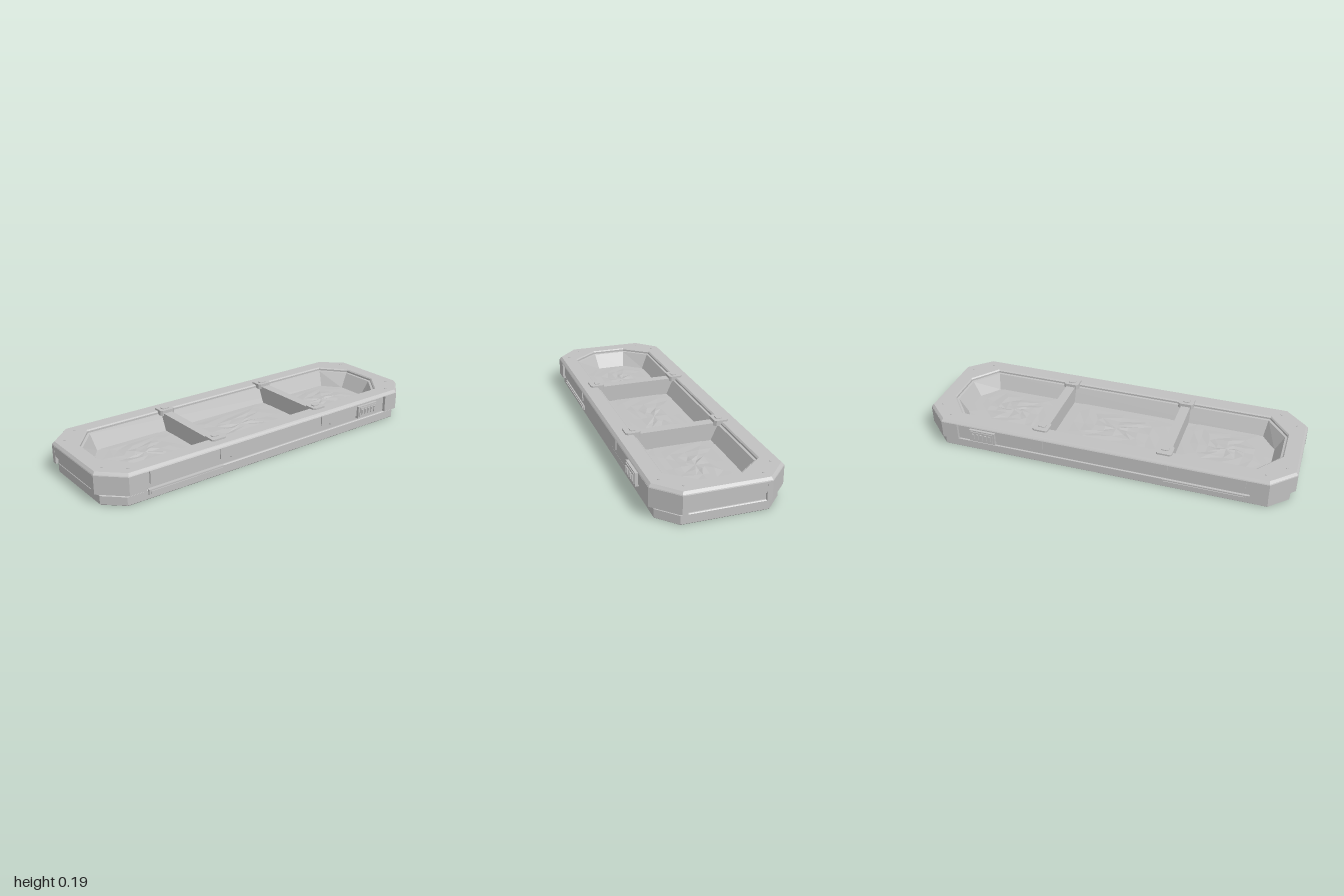
import * as THREE from 'three';

const grey = new THREE.MeshStandardMaterial({ color: 0xc0c0c0, flatShading: true });
grey.name = 'grey';
const SIDES = [-1, 1];

// Eight-sided outline: half sizes x, z and where the cut corners begin
function octagon(x, z, cx, cz) {
  return [[x, -cz], [x, cz], [cx, z], [-cx, z], [-x, cz], [-x, -cz], [-cx, -z], [cx, -z]];
}

// Skin joining octagon rings [x, z, cx, cz, y]
function loft(rings, capBottom = false, capTop = false) {
  const pos = [];
  const pts = rings.map(r => octagon(...r).map(([x, z]) => [x, r[4], z]));
  const tri = (a, b, c) => pos.push(...a, ...b, ...c);
  for (let r = 0; r < pts.length - 1; r++) {
    for (let i = 0; i < 8; i++) {
      const j = (i + 1) % 8;
      tri(pts[r][i], pts[r + 1][i], pts[r + 1][j]);
      tri(pts[r][i], pts[r + 1][j], pts[r][j]);
    }
  }
  const last = pts.length - 1;
  for (let i = 0; i < 8; i++) {
    const j = (i + 1) % 8;
    if (capBottom) tri([0, rings[0][4], 0], pts[0][i], pts[0][j]);
    if (capTop) tri([0, rings[last][4], 0], pts[last][j], pts[last][i]);
  }
  const g = new THREE.BufferGeometry();
  g.setAttribute('position', new THREE.Float32BufferAttribute(pos, 3));
  g.computeVertexNormals();
  return g;
}

// Flat plan outline [x, z] raised from y0 to y1
function slab(points, y0, y1) {
  const shape = new THREE.Shape(points.map(([x, z]) => new THREE.Vector2(x, z)));
  const g = new THREE.ExtrudeGeometry(shape, { depth: y1 - y0, bevelEnabled: false });
  return g.rotateX(Math.PI / 2).translate(0, y1, 0);
}

// Uneven fill of one bay: concentric rings around a centre
function fillGeometry(x0, x1, seed, cutLeft, cutRight) {
  const z = 0.185, cx = (x0 + x1) / 2;
  const edge = [[x1, -z + cutRight], [x1, 0], [x1, z - cutRight], [x1 - cutRight, z], [cx, z], [x0 + cutLeft, z],
    [x0, z - cutLeft], [x0, 0], [x0, -z + cutLeft], [x0 + cutLeft, -z], [cx, -z], [x1 - cutRight, -z]];
  const n = edge.length, levels = 5, pos = [cx, 0.082, 0], index = [];
  for (let l = 1; l <= levels; l++) {
    edge.forEach(([x, ez], i) => {
      const t = l / levels;
      const wave = Math.sin(i * 2.7 + seed * 3.1 + l * 1.9) * 0.005 * (1 - t);
      pos.push(cx + (x - cx) * t, 0.076 + 0.006 * (1 - t) + wave, ez * t);
    });
  }
  for (let i = 0; i < n; i++) {
    const j = (i + 1) % n;
    index.push(0, 1 + j, 1 + i);
    for (let l = 0; l < levels - 1; l++) {
      const a = 1 + l * n + i, b = 1 + l * n + j;
      index.push(a, b, b + n, a, b + n, a + n);
    }
  }
  const g = new THREE.BufferGeometry();
  g.setAttribute('position', new THREE.Float32BufferAttribute(pos, 3));
  g.setIndex(index);
  g.computeVertexNormals();
  return g;
}

export function createModel() {
  const model = new THREE.Group();
  const add = (name, geometry, x = 0, y = 0, z = 0) => {
    const m = new THREE.Mesh(geometry, grey);
    m.name = name;
    m.position.set(x, y, z);
    model.add(m);
    return m;
  };
  // Box given by its limits
  const block = (name, x0, x1, y0, y1, z0, z1) => add(name,
    new THREE.BoxGeometry(Math.abs(x1 - x0), y1 - y0, Math.abs(z1 - z0)),
    (x0 + x1) / 2, (y0 + y1) / 2, (z0 + z1) / 2);

  // Plinth, shadow gap, recessed wall, rim and inner basin in one skin
  add('trayBody', loft([
    [0.971, 0.299, 0.877, 0.211, 0],
    [0.975, 0.303, 0.88, 0.213, 0.004],
    [0.975, 0.303, 0.88, 0.213, 0.047],
    [0.971, 0.299, 0.877, 0.211, 0.051],
    [0.962, 0.291, 0.87, 0.206, 0.051],
    [0.962, 0.291, 0.87, 0.206, 0.064],
    [0.985, 0.312, 0.873, 0.204, 0.064],
    [0.985, 0.312, 0.873, 0.204, 0.157],
    [1.0, 0.328, 0.88, 0.213, 0.157],
    [0.998, 0.325, 0.879, 0.212, 0.162],
    [0.988, 0.314, 0.874, 0.207, 0.174],
    [0.912, 0.238, 0.8, 0.1, 0.174],
    [0.906, 0.231, 0.797, 0.097, 0.168],
    [0.906, 0.231, 0.797, 0.097, 0.158],
    [0.895, 0.22, 0.79, 0.092, 0.156],
    [0.85, 0.183, 0.775, 0.08, 0.074],
  ], true, true));

  // Protruding corner caps
  for (const sx of SIDES) {
    for (const sz of SIDES) {
      const plan = [[0.79, 0.3], [0.79, 0.328], [0.88, 0.328], [1, 0.213], [1, 0.187], [0.97, 0.187], [0.97, 0.2], [0.87, 0.3]];
      add('cornerCap', slab(plan.map(([x, z]) => [x * sx, z * sz]), 0.063, 0.158));
      for (const [x, z] of [[0.85, 0.27], [0.94, 0.19]]) {
        add('rimScrew', new THREE.CylinderGeometry(0.006, 0.006, 0.003, 8), x * sx, 0.175, z * sz);
      }
    }
    // Upper plate of each end
    block('endPlate', sx * 0.97, sx * 0.999, 0.103, 0.158, -0.187, 0.187);
  }

  // Long-side panels, brackets, latch and lower rail, the same front and back
  for (const sz of SIDES) {
    block('middlePanel', -0.3, 0.3, 0.088, 0.158, sz * 0.3, sz * 0.321);
    for (const sx of SIDES) {
      block('outerPanel', sx * 0.37, sx * 0.765, 0.088, 0.158, sz * 0.3, sz * 0.321);
      block('sideBracket', sx * 0.3, sx * 0.37, 0.1, 0.158, sz * 0.3, sz * 0.327);
    }
    block('latchPlate', 0.57, 0.715, 0.077, 0.145, sz * 0.31, sz * 0.335);
    block('latchFace', 0.58, 0.705, 0.086, 0.138, sz * 0.33, sz * 0.339);
    for (let i = 0; i < 5; i++) {
      const x = 0.59 + i * 0.0235;
      block('latchRib', x, x + 0.012, 0.096, 0.128, sz * 0.335, sz * 0.345);
    }
    block('lowerRail', -0.77, -0.34, 0.026, 0.054, sz * 0.29, sz * 0.314);
    block('lowerRailLip', -0.76, -0.35, 0.032, 0.046, sz * 0.31, sz * 0.318);
  }

  // Cross dividers with a clamp at each end
  for (const sx of SIDES) {
    block('divider', sx * 0.31, sx * 0.362, 0.07, 0.167, -0.232, 0.232);
    for (const sz of SIDES) {
      const u = 0.042, v = 0.038;
      const clampPlan = octagon(u, v, u - 0.01, v - 0.01);
      add('clamp', slab(clampPlan, 0.155, 0.183), sx * 0.335, 0, sz * 0.235);
      add('clampButton', slab(octagon(0.02, 0.014, 0.016, 0.01), 0.18, 0.187), sx * 0.335, 0, sz * 0.23);
    }
  }

  // Uneven fill in the three bays
  add('leftFill', fillGeometry(0.362, 0.852, 2, 0.055, 0.1));
  add('middleFill', fillGeometry(-0.31, 0.31, 1, 0.055, 0.055));
  add('rightFill', fillGeometry(-0.852, -0.362, 0, 0.1, 0.055));

  return model;
}
